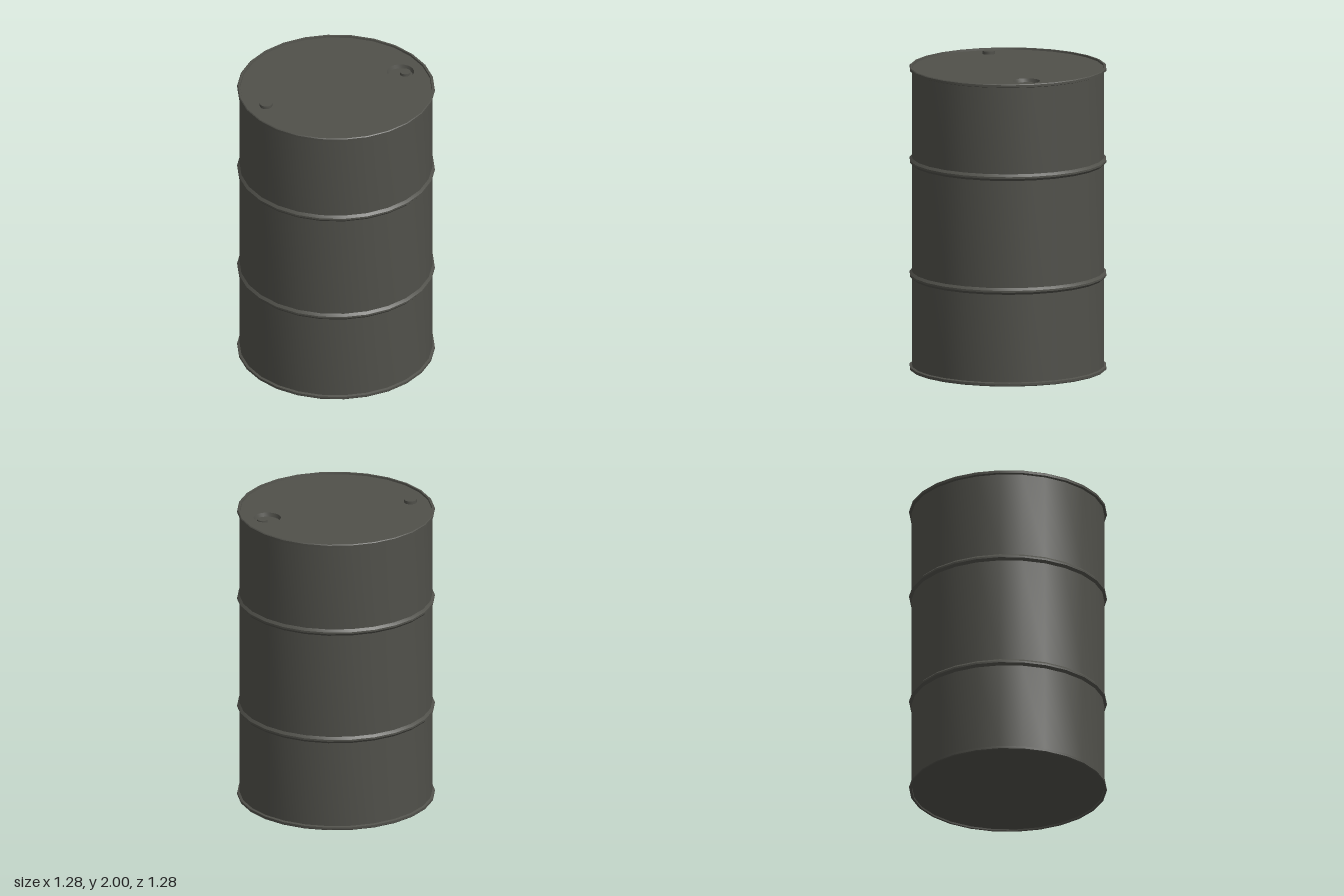
import * as THREE from 'three';
import { toCreasedNormals } from 'three/addons/utils/BufferGeometryUtils.js';

const SIDES = 26;
const STEP = (Math.PI * 2) / SIDES;
const START = -STEP / 4;
const LID_Y = 1.98;

// Revolved part with crisp profile edges and smooth sides
function turned(name, profile, sides, start, material) {
  const points = profile.map(([r, y]) => new THREE.Vector2(r, y));
  const geometry = new THREE.LatheGeometry(points, sides, start);
  const mesh = new THREE.Mesh(toCreasedNormals(geometry, 0.42), material);
  mesh.name = name;
  return mesh;
}

export function createModel() {
  const group = new THREE.Group();
  group.name = 'oilDrum';
  const steel = new THREE.MeshStandardMaterial({ color: 0x50504a });
  steel.name = 'dark olive steel';

  // Shell: recessed base, rolled rims at both ends, two rolling hoops
  const hoop = (y) => [[0.625, y - 0.022], [0.64, y - 0.006], [0.64, y + 0.006], [0.625, y + 0.022]];
  const shell = [
    [0, 0.01], [0.62, 0.01], [0.622, 0], [0.635, 0], [0.64, 0.005], [0.64, 0.02], [0.625, 0.025],
    ...hoop(0.625), ...hoop(1.375),
    [0.625, 1.967], [0.64, 1.972], [0.64, 1.987], [0.635, 1.992], [0.622, 1.992], [0.62, LID_Y],
  ];
  group.add(turned('shell', shell, SIDES, START, steel));

  // Lid with a round opening for the filler recess
  const cup = { x: 0.326, z: -0.33, r: 0.088 };
  const outline = [];
  for (let i = 0; i < SIDES; i++) {
    const a = START + i * STEP;
    outline.push(new THREE.Vector2(0.62 * Math.sin(a), -0.62 * Math.cos(a)));
  }
  const lidShape = new THREE.Shape(outline);
  const opening = [];
  for (let i = 0; i < 24; i++) {
    const a = (i / 24) * Math.PI * 2;
    opening.push(new THREE.Vector2(cup.x + cup.r * Math.sin(a), -cup.z - cup.r * Math.cos(a)));
  }
  lidShape.holes.push(new THREE.Path(opening));
  const lid = new THREE.Mesh(new THREE.ShapeGeometry(lidShape), steel);
  lid.name = 'lid';
  lid.rotation.x = -Math.PI / 2;
  lid.position.y = LID_Y;
  group.add(lid);

  // Filler recess sunk into the lid
  const recess = turned('fillerRecess', [[cup.r, 0], [0.08, -0.025], [0, -0.025]], 24, 0, steel);
  recess.position.set(cup.x, LID_Y, cup.z);
  group.add(recess);

  // Bungs: one inside the recess, one on the lid
  const bung = (name, x, y, z, r, h) => {
    const mesh = turned(name, [[r, 0], [r, h], [0, h]], 20, 0, steel);
    mesh.position.set(x, y, z);
    group.add(mesh);
  };
  bung('fillerBung', 0.35, LID_Y - 0.025, -0.353, 0.035, 0.018);
  bung('ventBung', -0.356, LID_Y, 0.353, 0.041, 0.02);

  return group;
}
